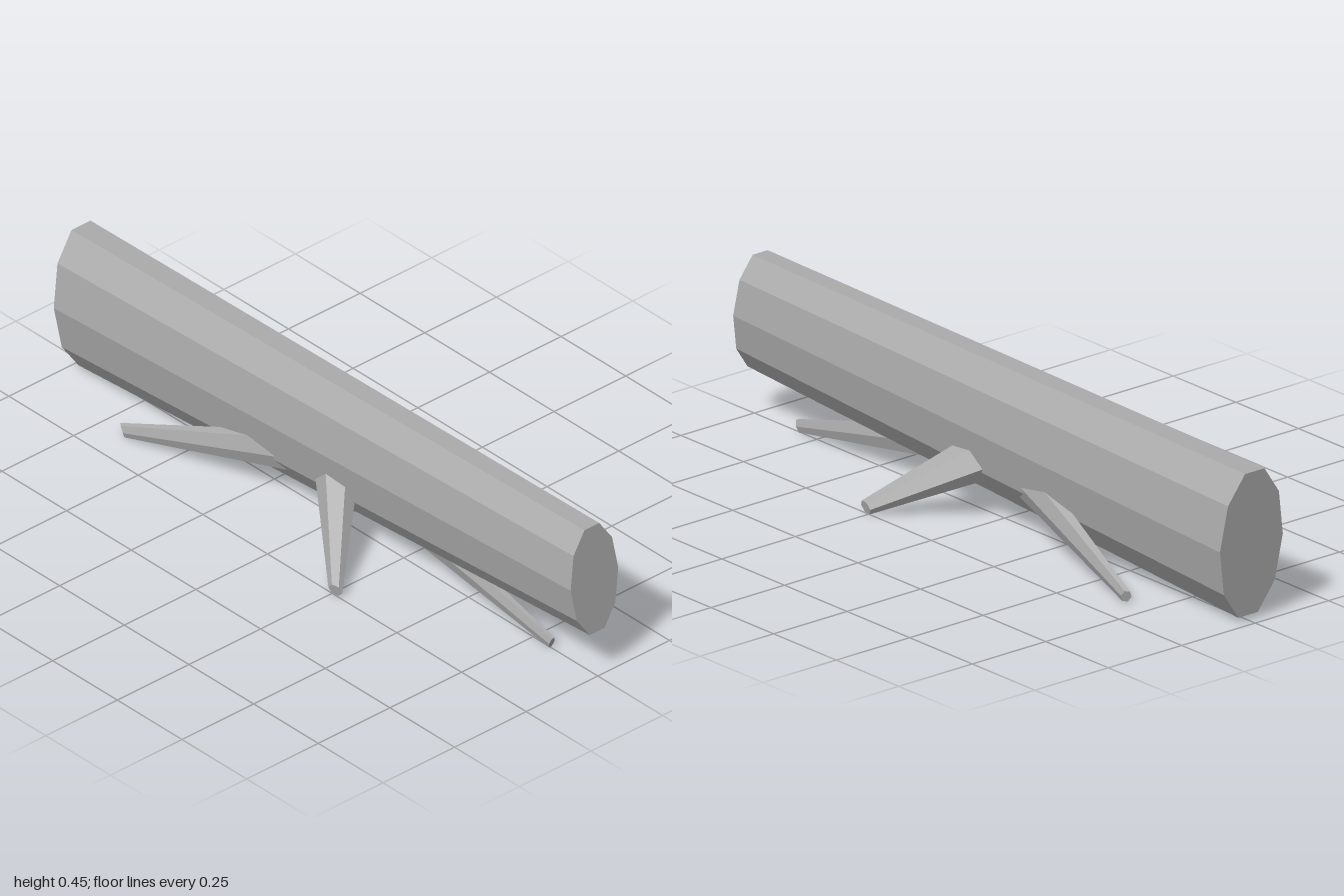
import * as THREE from 'three';

// limbs are round in a squashed space, then stretched: this makes the sections oval
const STRETCH = new THREE.Vector3(2.6, 2, 1);

// Tapered, faceted limb between two points
function limb(name, from, to, rFrom, rTo, sides, material) {
  const a = new THREE.Vector3(...from).divide(STRETCH);
  const b = new THREE.Vector3(...to).divide(STRETCH);
  const axis = b.clone().sub(a);
  const length = axis.length();
  axis.normalize();
  const side = new THREE.Vector3().crossVectors(axis, new THREE.Vector3(0, 1, 0)).normalize();
  const across = new THREE.Vector3().crossVectors(axis, side);
  const place = new THREE.Matrix4()
    .makeBasis(across, axis, side)
    .setPosition(a.add(b).multiplyScalar(0.5));
  const geometry = new THREE.CylinderGeometry(rTo, rFrom, length, sides)
    .applyMatrix4(place)
    .scale(STRETCH.x, STRETCH.y, STRETCH.z)
    .toNonIndexed();
  geometry.computeVertexNormals();
  const mesh = new THREE.Mesh(geometry, material);
  mesh.name = name;
  return mesh;
}

export function createModel() {
  const model = new THREE.Group();
  model.name = 'fallenLog';
  const bark = new THREE.MeshStandardMaterial({ color: 0xaaaaaa, flatShading: true });
  bark.name = 'greyBark';

  // Trunk, thicker at the -x end and slightly raised at the +x end
  model.add(limb('trunk', [-0.985, 0.22, 0], [0.987, 0.297, 0], 0.107, 0.083, 10, bark));

  // Paired branches that prop the trunk up on both sides
  for (const s of [1, -1]) {
    const label = s > 0 ? 'front' : 'back';
    model.add(limb(label + 'SideBranch', [-0.014, 0.21, 0], [0.262, 0.018, 0.25 * s], 0.034, 0.0095, 6, bark));
    model.add(limb(label + 'RearBranch', [0, 0.205, 0.02 * s], [-0.667, 0.018, 0.155 * s], 0.032, 0.0095, 6, bark));
  }

  // Single branch underneath, along the middle
  model.add(limb('lowerBranch', [0, 0.195, 0], [0.822, 0.019, 0], 0.032, 0.0095, 6, bark));
  return model;
}
